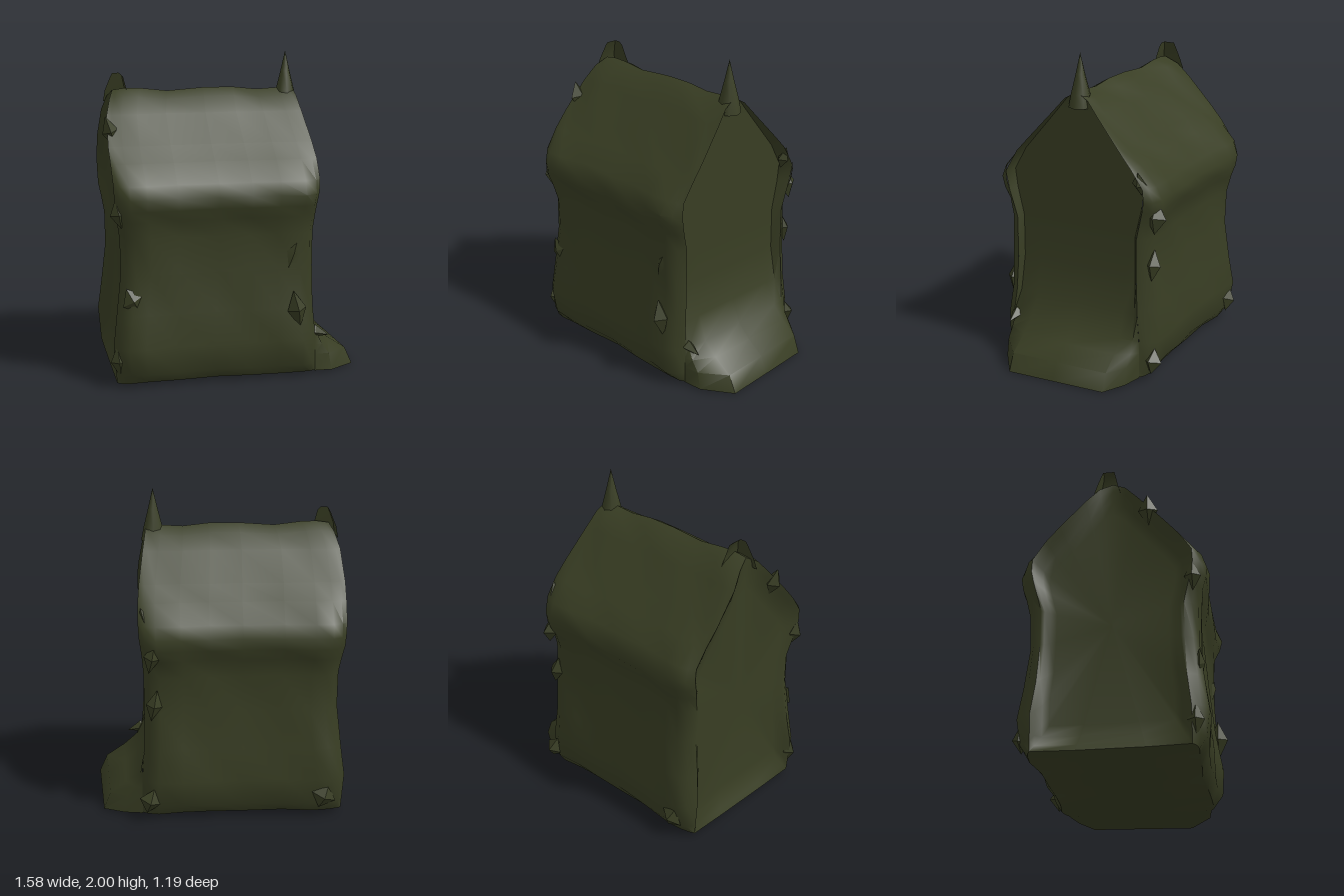
import * as THREE from 'three';
import { toCreasedNormals } from 'three/addons/utils/BufferGeometryUtils.js';

const weathered = new THREE.MeshStandardMaterial({ color: 0x383d23 });
weathered.name = 'dark olive';

// Skin between rows of [x, y, z] points; closed rows wrap round
function loft(rows, closed = true) {
  const n = rows[0].length, index = [];
  for (let i = 0; i < rows.length - 1; i++) {
    for (let j = 0; j < (closed ? n : n - 1); j++) {
      const a = i * n + j, b = i * n + (j + 1) % n;
      index.push(a, a + n, b, b, a + n, b + n);
    }
  }
  const g = new THREE.BufferGeometry();
  g.setAttribute('position', new THREE.Float32BufferAttribute(rows.flat(2), 3));
  g.setIndex(index);
  return toCreasedNormals(g, 0.9);
}

// Linear lookup in a list of [key, value]
function lookup(table, k) {
  for (let i = 1; i < table.length; i++) {
    const [a, u] = table[i - 1], [b, v] = table[i];
    if (k <= b) return u + (v - u) * Math.max(0, (k - a) / (b - a));
  }
  return table[table.length - 1][1];
}

// Uneven outlines of both ends: height to x
const leftEnd = [[0.02, -0.75], [0.24, -0.77], [0.4, -0.75], [0.75, -0.71], [0.95, -0.72],
  [1.1, -0.75], [1.45, -0.765], [1.6, -0.76], [1.7, -0.74], [1.77, -0.7]];
const rightEnd = [[0.02, 0.5], [0.3, 0.5], [0.5, 0.48], [0.9, 0.48], [1.05, 0.49],
  [1.2, 0.51], [1.4, 0.51], [1.6, 0.48], [1.77, 0.45]];
// Half width of the gable rim: height to z
const rimZ = [[0, 0.46], [0.25, 0.46], [0.5, 0.43], [0.9, 0.42], [1.1, 0.47], [1.2, 0.49],
  [1.25, 0.48], [1.365, 0.4], [1.46, 0.315], [1.635, 0.158], [1.725, 0.08], [1.77, 0]];

// Half of the house section: [z, y] from foot to ridge
const half = [[0.2, 0.02], [0.49, 0.025], [0.54, 0.09], [0.55, 0.25], [0.525, 0.45], [0.51, 0.7], [0.505, 0.92],
  [0.525, 1.03], [0.56, 1.1], [0.565, 1.17], [0.525, 1.25], [0.41, 1.365], [0.32, 1.46],
  [0.16, 1.635], [0.08, 1.725], [0, 1.77]];
const section = [...half, ...half.slice(0, -1).reverse().map(([z, y]) => [-z, y])];

// Cross-section at t along the length; turn rounds it off towards the gable rim
function houseRing(t, width, turn = 0) {
  return section.map(([z, y], j) => {
    const side = Math.sign(z), rim = Math.min(Math.abs(z), lookup(rimZ, y));
    const x = THREE.MathUtils.lerp(lookup(leftEnd, y), lookup(rightEnd, y), t);
    const wave = 0.008 * Math.sin(t * 17 + j * 1.9);
    const ridge = y > 1.7 ? 0.012 * Math.cos((t - 0.58) * 13) * (1 - turn) : 0;
    return [x, y + ridge, side * THREE.MathUtils.lerp(Math.abs(z) * width + wave, rim, turn)];
  });
}

// Left gable ring: the rim shrunk and eased back onto a plane
const sunkRing = (rim, inset, ease) => rim.map(([x, y, z]) => [
  THREE.MathUtils.lerp(x, -0.695, ease), 0.8 + (y - 0.8) * inset, z * inset]);

// Right gable row at height y, its middle reaching out to x
const across = [[-1, 0], [-0.92, 0.4], [-0.74, 0.85], [0, 0.93], [0.67, 1], [0.96, 0.4], [1, 0]];
const gableRow = (y, out) => across.map(([f, w]) => [
  w === 0 ? lookup(rightEnd, y) : out > 0.5 ? 0.5 + (out - 0.5) * w : out,
  y + (out > 0.7 ? 0.02 * (1 - w) : 0), f * lookup(rimZ, y)]);

// Pointed scrap of wall
const shard = (w, h, d) => toCreasedNormals(new THREE.OctahedronGeometry(1, 0).scale(w, h, d), 0.5);

export function createModel() {
  const model = new THREE.Group();
  const add = (name, geometry, x = 0, y = 0, z = 0) => {
    const mesh = new THREE.Mesh(geometry, weathered);
    mesh.name = name;
    mesh.position.set(x, y, z);
    model.add(mesh);
    return mesh;
  };

  // Walls, roof and sunk left gable in one skin with rounded corners
  const leftRim = houseRing(0, 1, 1);
  add('house', loft([
    ...[[0, 1], [0.78, 1], [0.87, 0.8], [0.95, 0.3]].map(([s, e]) => sunkRing(leftRim, s, e)),
    leftRim, houseRing(0.025, 1, 0.4), houseRing(0.07, 1), houseRing(0.15, 1), houseRing(0.3, 0.965),
    houseRing(0.5, 0.955), houseRing(0.66, 0.965), houseRing(0.8, 0.98), houseRing(0.92, 1),
    houseRing(0.975, 1, 0.4), houseRing(1, 1, 1),
  ]));

  // Right gable, sunk behind the rim and running out into a bank at its foot
  const foot = gableRow(0, 0.79);
  add('rightGable', loft([
    foot.map(([, , z]) => [0.48, 0.02, z]), foot, gableRow(0.11, 0.74), gableRow(0.19, 0.62),
    gableRow(0.27, 0.53), gableRow(0.42, 0.46),
    ...[0.65, 0.92, 1.1, 1.22, 1.365, 1.46, 1.635, 1.725].map((y) => gableRow(y, 0.43)),
    gableRow(1.77, 0.45),
  ], false));

  // Ridge ornaments: a tall spike and a broken stump
  const spike = new THREE.LatheGeometry(
    [[0.075, -0.08], [0.06, 0], [0.03, 0.12], [0, 0.25]].map(([r, y]) => new THREE.Vector2(r, y)), 8);
  add('ridgeSpike', spike, 0.405, 1.75, 0);
  const stump = [[1.69, -0.745, -0.6, 0.08], [1.76, -0.735, -0.61, 0.06], [1.85, -0.7, -0.63, 0.04], [1.87, -0.69, -0.65, 0.035]]
    .map(([y, a, b, d]) => [[a, y, d - 0.03], [b, y, d - 0.03], [b, y, -0.03 - d], [a, y, -0.03 - d]]);
  stump.push(Array(4).fill([-0.67, 1.87, -0.03]));
  add('ridgeStump', loft(stump));

  // Torn scraps along the corners, eaves and rims: position, half sizes, tilt
  [
    [-0.74, 1.54, 0.22, 0.05, 0.1, 0.06, 0.3], [-0.73, 1.08, 0.48, 0.05, 0.09, 0.05, 0.2],
    [-0.74, 0.17, 0.48, 0.05, 0.1, 0.05, 0.1], [-0.65, 0.55, 0.505, 0.07, 0.09, 0.03, 0.5],
    [0.36, 0.45, 0.53, 0.06, 0.12, 0.06, 0.2], [0.34, 0.8, 0.495, 0.05, 0.12, 0.03, -0.3],
    [0.5, 0.27, 0.43, 0.1, 0.04, 0.04, -0.3], [0.43, 1.06, -0.53, 0.05, 0.1, 0.07, 0.2],
    [0.47, 1.27, -0.44, 0.04, 0.08, 0.05, -0.3], [0.42, 0.75, -0.51, 0.05, 0.1, 0.05, 0.2],
    [0.45, 0.13, -0.53, 0.07, 0.08, 0.06, 0.3], [-0.63, 0.14, -0.54, 0.08, 0.08, 0.05, 0.4],
  ].forEach(([x, y, z, w, h, d, tilt]) => {
    add('wallScrap', shard(w, h, d), x, y, z).rotation.z = tilt;
  });

  return model;
}
